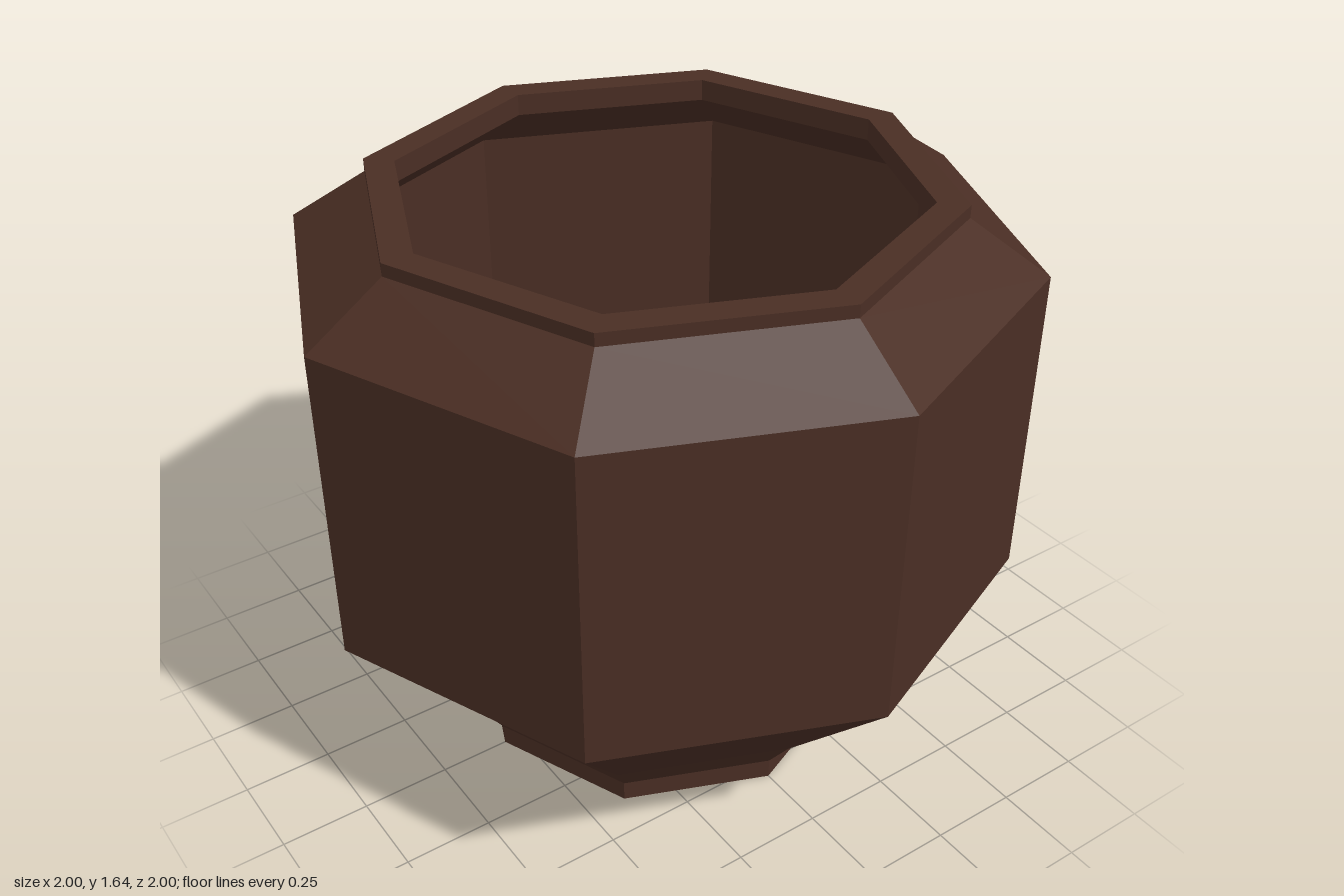
import * as THREE from 'three';

const SIDES = 8;

export function createModel() {
  const group = new THREE.Group();
  group.name = 'pot';

  const clay = new THREE.MeshStandardMaterial({ color: 0x4a2e24 });
  clay.name = 'dark brown clay';
  clay.flatShading = true;

  // Turns a [radius, height] profile into an eight-sided ring
  const turned = (name, profile) => {
    const points = profile.map(([r, y]) => new THREE.Vector2(r, y));
    const mesh = new THREE.Mesh(new THREE.LatheGeometry(points, SIDES), clay);
    mesh.name = name;
    group.add(mesh);
  };

  // Foot ring with a shallow recess underneath
  turned('foot', [[0, 0.05], [0.48, 0.05], [0.48, 0], [0.55, 0], [0.55, 0.06]]);

  // Outer wall: flared base, straight belly, sloping shoulder
  turned('outerWall', [[0.55, 0.06], [0.63, 0.17], [1, 0.575], [1, 1.465], [0.785, 1.61]]);

  // Raised lip around the mouth
  turned('lip', [[0.785, 1.61], [0.785, 1.645], [0.7, 1.645], [0.7, 1.585]]);

  // Hollow interior down to the floor
  turned('innerWall', [[0.7, 1.585], [0.92, 1.43], [0.92, 0.61], [0.56, 0.21], [0.48, 0.1]]);
  turned('floor', [[0.48, 0.1], [0, 0.1]]);

  return group;
}
